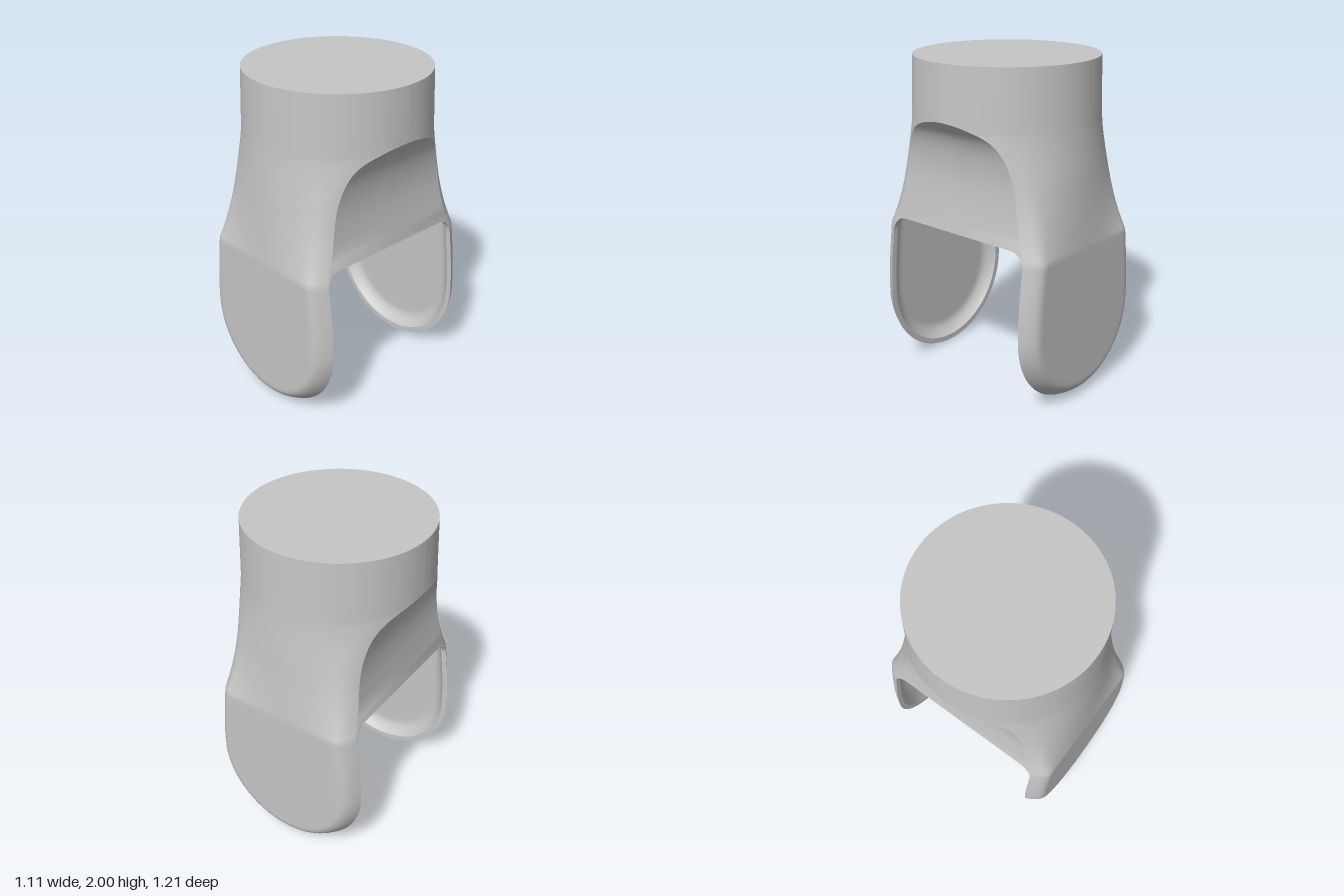
import * as THREE from 'three';
import { toCreasedNormals } from 'three/addons/utils/BufferGeometryUtils.js';

const WALL = 0.035;      // shell thickness
const TIP = 0.505;       // radius of the round prong tip
const RIM_Z = 0.51;      // inner face of the prongs
const WEB_Y = 1.01;      // lower edge of the side webs
const SADDLE_Y = 1.68;   // top of the side saddles
const NOTCH_R = 0.09;
const COLS = 40;

// Half width of the front outline from prong to collar
const outline = new THREE.CubicInterpolant(
  [0.36, 0.505, 0.65, 0.87, 1.1, 1.32, 1.45, 1.54, 1.6, 1.68],
  [0.49, 0.505, 0.5, 0.477, 0.443, 0.425, 0.434, 0.455, 0.484, 0.556], 1);

const collarRadius = (y) => 0.545 + 0.01 * Math.min(2, (2 - y) / 0.32);

function halfWidth(y) {
  if (y >= SADDLE_Y) return collarRadius(y);
  if (y < TIP) return Math.sqrt(Math.max(0, TIP * TIP - (TIP - y) ** 2));
  return Math.min(outline.evaluate(y)[0], collarRadius(y));
}

// Depth of the surface: round collar blending into flat prongs with soft edges
function depth(x, y, p, inset) {
  const r = collarRadius(y) - inset;
  const round = Math.sqrt(Math.max(0, r * r - x * x));
  const d = y < TIP ? TIP - inset - Math.hypot(x, y - TIP) : p - Math.abs(x);
  const t = THREE.MathUtils.clamp(d / 0.09, 0, 1);
  const flat = RIM_Z + (0.095 - inset) * (1 - (1 - t) ** 2);
  const s = (1 - THREE.MathUtils.clamp((y - 0.95) / 0.7, 0, 1)) ** 1.5;
  return THREE.MathUtils.lerp(round, flat, s);
}

// Rows from tip to top; n is how far the side wall reaches towards the middle
function makeRows() {
  const rows = [];
  for (let i = 0; i < 24; i++) rows.push({ y: TIP * (1 - Math.cos((i / 24) * Math.PI / 2)), n: RIM_Z });
  for (let i = 0; i < 8; i++) rows.push({ y: TIP + (WEB_Y - NOTCH_R - TIP) * i / 8, n: RIM_Z });
  for (let i = 0; i <= 8; i++) {
    const a = (i / 8) * Math.PI / 2;
    rows.push({ y: WEB_Y - NOTCH_R + NOTCH_R * Math.sin(a), n: RIM_Z - NOTCH_R * (1 - Math.cos(a)) });
  }
  const webStart = rows.length;
  for (let i = 24; i >= 0; i--) rows.push({ y: SADDLE_Y - (SADDLE_Y - WEB_Y) * (i / 24) ** 2, n: 0 });
  for (let i = 1; i <= 6; i++) rows.push({ y: SADDLE_Y + (2 - SADDLE_Y) * i / 6, n: 0 });
  return { rows, webStart };
}

// Cross-section of the front half: side wall, curved face, side wall
function section({ y, n }, inset) {
  let p = Math.max(0, halfWidth(y) - inset);
  if (y < TIP) {
    p = halfWidth(y) * (TIP - inset) / TIP;
    y = TIP - (TIP - y) * (TIP - inset) / TIP;
  }
  const pts = [];
  for (let j = 0; j <= COLS; j++) {
    const x = p * Math.sin((j / COLS - 0.5) * Math.PI);
    pts.push(new THREE.Vector3(x, Math.min(y, 2 - inset), depth(x, y, p, inset)));
  }
  const z = Math.min(n, pts[0].z, pts[COLS].z);
  const yy = pts[0].y;
  return [new THREE.Vector3(-p, yy, z), ...pts, new THREE.Vector3(p, yy, z)];
}

// Skin a list of cross-sections, dropping collapsed triangles
function skin(sections, flip, out) {
  const tri = new THREE.Triangle();
  const add = (a, b, c) => {
    tri.set(a, b, c);
    if (tri.getArea() < 1e-9) return;
    for (const v of flip ? [a, c, b] : [a, b, c]) out.push(v.x, v.y, v.z);
  };
  for (let i = 0; i + 1 < sections.length; i++) {
    const lo = sections[i], hi = sections[i + 1];
    for (let j = 0; j + 1 < lo.length; j++) {
      add(lo[j], lo[j + 1], hi[j + 1]);
      add(lo[j], hi[j + 1], hi[j]);
    }
  }
  return out;
}

export function createModel() {
  const group = new THREE.Group();
  const grey = new THREE.MeshStandardMaterial({ color: 0xc6c6c6 });
  grey.name = 'light grey';

  const { rows, webStart } = makeRows();
  const outer = rows.map((r) => section(r, 0));
  const inner = rows.map((r) => section(r, WALL));
  const last = COLS + 2;

  // Rim joins both skins along the prong edges and under the webs
  const rimRows = rows.slice(0, webStart + 1).map((_, i) => i);
  const rim = skin(rimRows.map((i) => [outer[i][last], inner[i][last]]), false, []);
  skin(rimRows.map((i) => [inner[i][0], outer[i][0]]), false, rim);

  const shells = { OuterShell: skin(outer, false, []), InnerShell: skin(inner, true, []), Rim: rim };
  for (const [part, positions] of Object.entries(shells)) {
    const raw = new THREE.BufferGeometry();
    raw.setAttribute('position', new THREE.Float32BufferAttribute(positions, 3));
    const geometry = toCreasedNormals(raw, 0.5);
    for (const side of ['front', 'back']) {
      const mesh = new THREE.Mesh(geometry, grey);
      mesh.name = side + part;
      if (side === 'back') mesh.rotation.y = Math.PI;
      group.add(mesh);
    }
  }

  // Flat top and the ceiling of the cavity
  const top = new THREE.Mesh(new THREE.CircleGeometry(0.545, COLS * 2), grey);
  top.name = 'topCap';
  top.rotation.x = -Math.PI / 2;
  top.position.y = 2;
  const ceiling = new THREE.Mesh(new THREE.CircleGeometry(0.545 - WALL, COLS * 2), grey);
  ceiling.name = 'cavityCeiling';
  ceiling.rotation.x = Math.PI / 2;
  ceiling.position.y = 2 - WALL;
  group.add(top, ceiling);
  return group;
}
